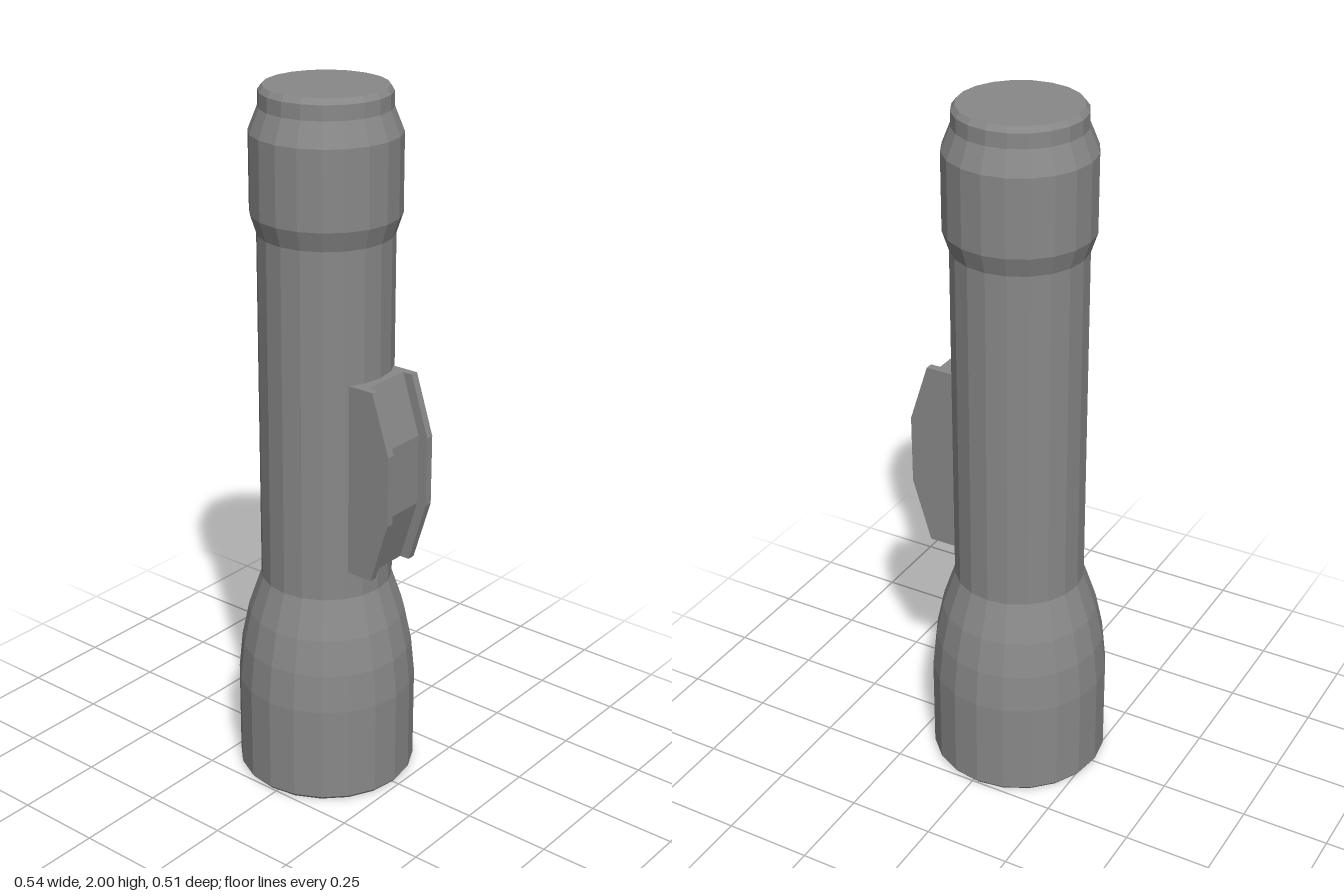
import * as THREE from 'three';

const material = new THREE.MeshStandardMaterial({ color: 0x888888, flatShading: true });
const SIDES = 20;
const AXIS_X = -0.018;

// Turned part around the torch axis; points are [radius, y] from bottom to top
function turned(name, points) {
  const profile = points.map(([r, y]) => new THREE.Vector2(r, y));
  const mesh = new THREE.Mesh(new THREE.LatheGeometry(profile, SIDES), material);
  mesh.name = name;
  mesh.position.x = AXIS_X;
  return mesh;
}

// Switch slab: outline in x/y with sloped ends, extruded along z
function slab(name, endX, midX, z, depth) {
  const shape = new THREE.Shape([
    [0.137, 0.69], [endX, 0.69], [midX, 0.87], [midX, 1.07], [endX, 1.24], [0.137, 1.24],
  ].map(([x, y]) => new THREE.Vector2(x, y)));
  const geometry = new THREE.ExtrudeGeometry(shape, { depth, bevelEnabled: false });
  geometry.translate(0, 0, z - depth / 2);
  const mesh = new THREE.Mesh(geometry, material);
  mesh.name = name;
  return mesh;
}

export function createModel() {
  const model = new THREE.Group();
  model.name = 'flashlight';

  // Shallow domed lens set into the head
  model.add(turned('lens', [[0, 0.002], [0.1, 0.018], [0.2, 0.04]]));

  // Flared head with rim
  model.add(turned('head', [
    [0.2, 0.04], [0.203, 0.008], [0.247, 0.004], [0.254, 0.013], [0.254, 0.29],
    [0.243, 0.4], [0.222, 0.5], [0.185, 0.61],
  ]));

  // Straight barrel
  model.add(turned('barrel', [[0.185, 0.61], [0.185, 1.61]]));

  // Tail collar and end cap
  model.add(turned('tailCap', [
    [0.185, 1.61], [0.203, 1.665], [0.203, 1.88], [0.177, 1.945],
    [0.176, 1.985], [0.165, 2], [0, 2],
  ]));

  // Switch: recessed centre between two guard plates
  const switchGroup = new THREE.Group();
  switchGroup.name = 'switch';
  switchGroup.add(slab('switchButton', 0.187, 0.242, 0, 0.148));
  for (const side of [-1, 1]) {
    switchGroup.add(slab(side > 0 ? 'frontGuard' : 'backGuard', 0.216, 0.271, side * 0.0855, 0.023));
  }
  model.add(switchGroup);

  return model;
}
